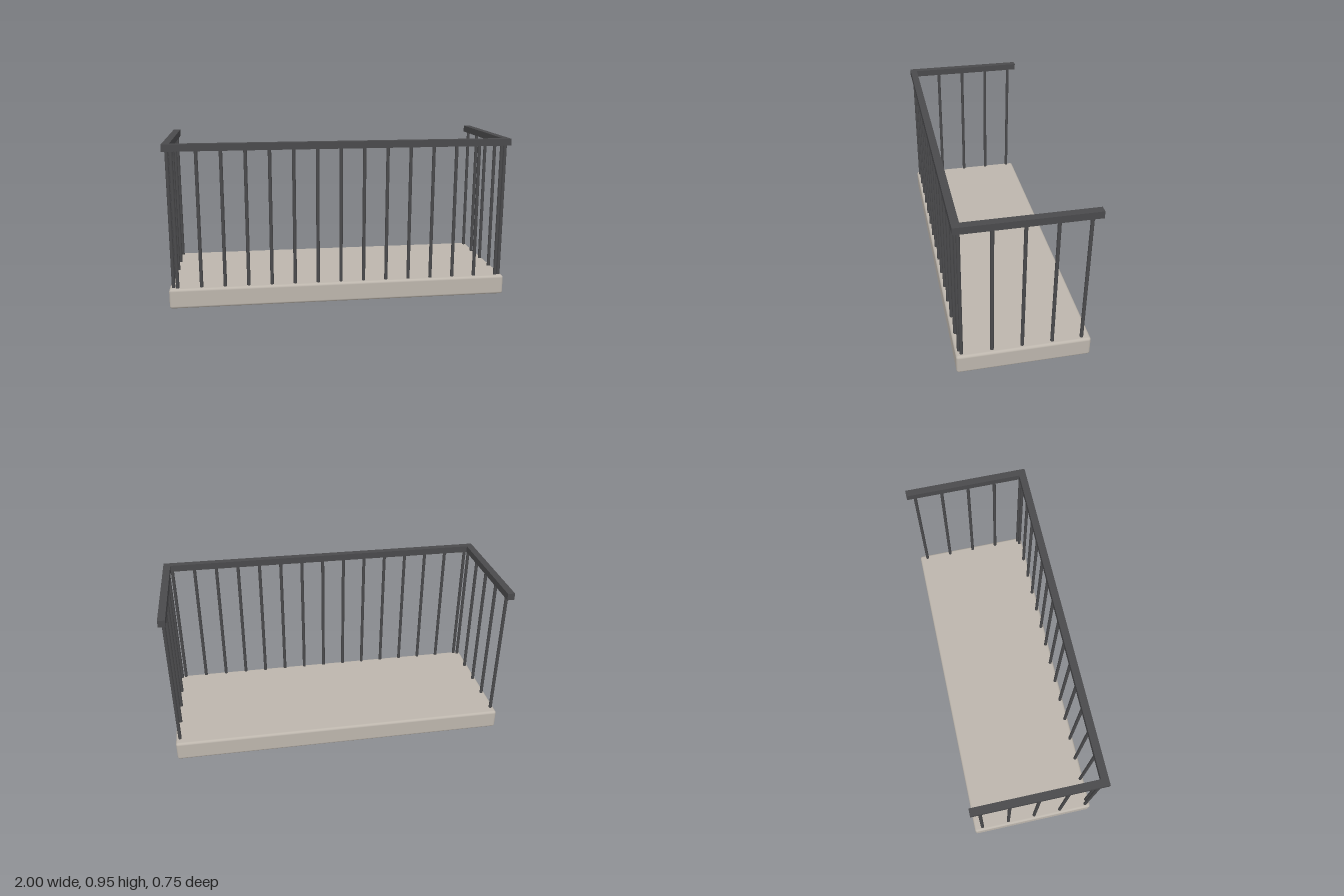
import * as THREE from 'three';
import { RoundedBoxGeometry } from 'three/addons/geometries/RoundedBoxGeometry.js';

export function createModel() {
  const model = new THREE.Group();
  model.name = 'balcony';

  const stone = new THREE.MeshStandardMaterial({ color: 0xbcb5ac });
  stone.name = 'stone';
  const metal = new THREE.MeshStandardMaterial({ color: 0x4a4a4c });
  metal.name = 'dark metal';

  const add = (name, geometry, material, x, y, z) => {
    const mesh = new THREE.Mesh(geometry, material);
    mesh.name = name;
    mesh.position.set(x, y, z);
    model.add(mesh);
  };

  // Floor slab with softly rounded edges
  const slabHeight = 0.117, depth = 0.75;
  add('floorSlab', new RoundedBoxGeometry(2, slabHeight, depth, 3, 0.015), stone, 0, slabHeight / 2, 0);

  // Handrail: front bar across the full width, side bars meeting it
  const railWidth = 0.042, railHeight = 0.04, railY = 0.934;
  const frontZ = depth / 2 - railWidth / 2;
  add('frontRail', new THREE.BoxGeometry(2, railHeight, railWidth), metal, 0, railY, frontZ);
  const sideLength = depth - railWidth;
  const sideRail = new THREE.BoxGeometry(railWidth, railHeight, sideLength);

  // Balusters
  const barBottom = 0.121, barTop = railY - railHeight / 2;
  const barY = (barBottom + barTop) / 2;
  const bar = new THREE.CylinderGeometry(0.01, 0.01, barTop - barBottom, 12);
  for (let i = 0; i < 15; i++) {
    add('frontBaluster', bar, metal, (i - 7) * 0.1358, barY, frontZ);
  }

  // Both sides, mirrored
  for (const side of [-1, 1]) {
    add('sideRail', sideRail, metal, side * (1 - railWidth / 2), railY, -railWidth / 2);
    for (let i = 0; i < 5; i++) {
      add('sideBaluster', bar, metal, side * 0.975, barY, 0.344 - i * 0.167);
    }
  }
  return model;
}
